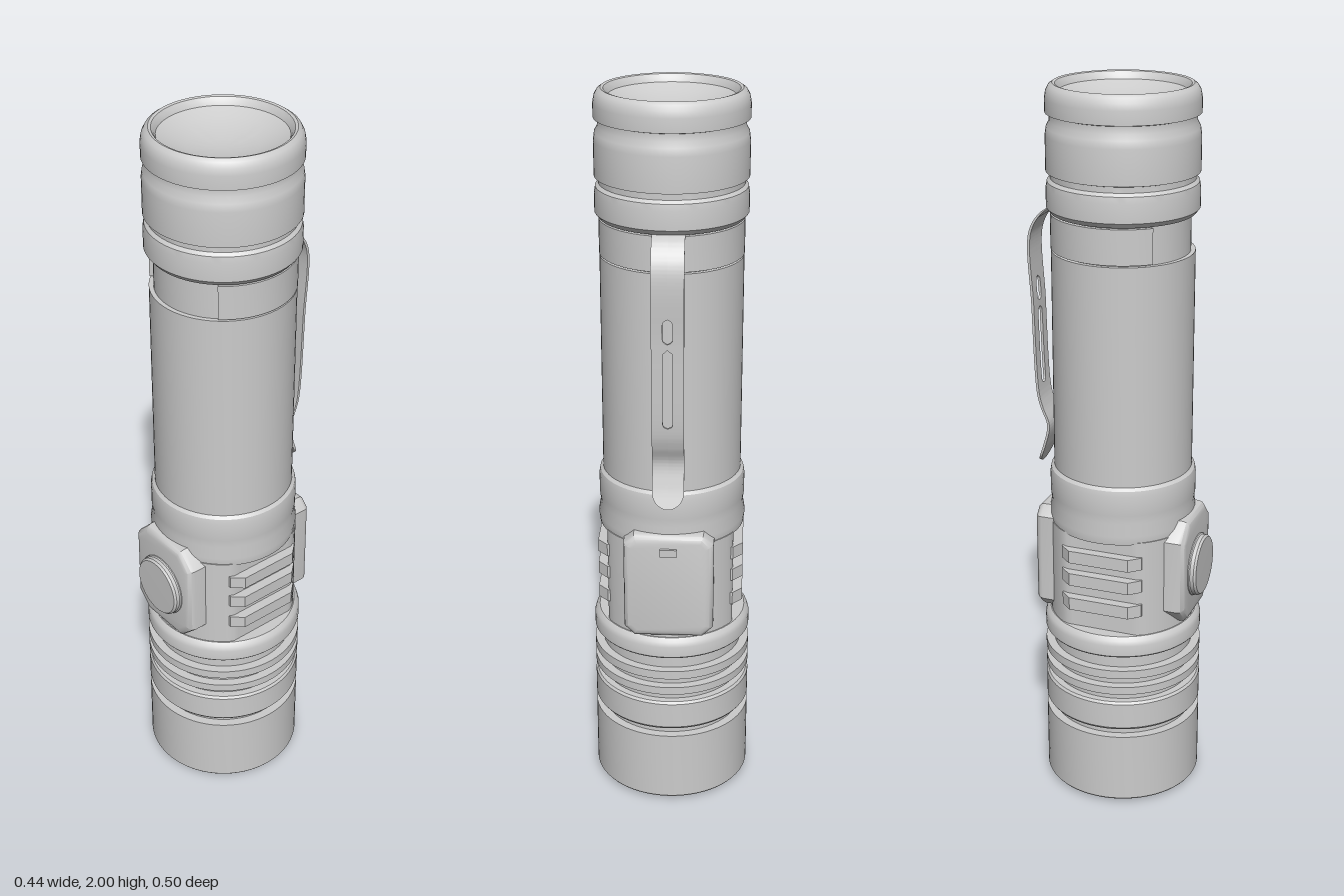
import * as THREE from 'three';
import { toCreasedNormals } from 'three/addons/utils/BufferGeometryUtils.js';

const AXIS_Z = 0.004;
const material = new THREE.MeshStandardMaterial({ color: 0xcccccc, side: THREE.DoubleSide });
const V2 = (p) => new THREE.Vector2(p[0], p[1]);

export function createModel() {
  const model = new THREE.Group();
  model.name = 'flashlight';

  const add = (name, geometry, x = 0, y = 0, z = AXIS_Z) => {
    const mesh = new THREE.Mesh(toCreasedNormals(geometry, 0.55), material);
    mesh.name = name;
    mesh.position.set(x, y, z);
    model.add(mesh);
    return mesh;
  };
  const lathe = (name, points) => add(name, new THREE.LatheGeometry(points.map(V2), 64));
  // Plan outline (x, -z) raised along y
  const raise = (points, y0, y1) =>
    new THREE.ExtrudeGeometry(new THREE.Shape(points.map(V2)), { depth: y1 - y0, bevelEnabled: false })
      .rotateX(-Math.PI / 2).translate(0, y0, 0);

  // Domed lens, recessed in the head
  const dome = [];
  for (let i = 0; i <= 14; i++) {
    const a = (i / 14) * Math.PI / 2;
    dome.push([0.17 * Math.sin(a), 0.09 * (1 - Math.cos(a))]);
  }
  lathe('lens', dome);

  // Head with cooling fins
  lathe('head', [
    [0.165, 0.09], [0.182, 0.09], [0.182, 0.016], [0.186, 0.011], [0.217, 0.011], [0.22, 0.015],
    [0.22, 0.217], [0.196, 0.217], [0.196, 0.24], [0.214, 0.24], [0.22, 0.248],
    [0.22, 0.322], [0.215, 0.329], [0.196, 0.329], [0.196, 0.355],
    [0.22, 0.355], [0.22, 0.378], [0.196, 0.378], [0.196, 0.405],
    [0.22, 0.405], [0.22, 0.43], [0.196, 0.43], [0.196, 0.472],
    [0.217, 0.472], [0.22, 0.476], [0.22, 0.507], [0.216, 0.52], [0.206, 0.53], [0.15, 0.53],
  ]);

  // Collar, battery tube and narrow neck under the tail cap
  lathe('batteryTube', [
    [0.16, 0.805], [0.2, 0.805], [0.203, 0.83], [0.197, 0.865], [0.2, 0.89], [0.2, 0.945],
    [0.197, 0.96], [0.189, 0.968], [0.189, 1.57], [0.177, 1.57], [0.177, 1.69],
  ]);

  // Tail cap with grooves and a dished end
  lathe('tailCap', [
    [0.17, 1.672], [0.19, 1.672], [0.2, 1.685], [0.2, 1.735], [0.197, 1.752], [0.189, 1.76],
    [0.189, 1.775], [0.2, 1.778], [0.2, 1.87], [0.197, 1.89], [0.189, 1.905], [0.189, 1.924],
    [0.2, 1.927], [0.2, 1.963], [0.197, 1.98], [0.19, 1.993], [0.18, 2.0], [0.173, 1.998],
    [0.167, 1.99], [0.162, 1.979], [0.13, 1.964], [0.09, 1.951], [0.045, 1.943], [0, 1.94],
  ]);

  // Switch section: round core with flattened sides
  const core = [];
  for (let i = 0; i < 72; i++) {
    const a = (i / 72) * Math.PI * 2;
    core.push([THREE.MathUtils.clamp(0.203 * Math.cos(a), -0.173, 0.173), 0.203 * Math.sin(a)]);
  }
  add('switchCore', raise(core, 0.525, 0.81));

  // Side grip ribs
  const rib = [[0.165, -0.115], [0.173, -0.115], [0.2, -0.085], [0.2, 0.085], [0.173, 0.115], [0.165, 0.115]];
  for (const side of [-1, 1]) {
    for (const y of [0.608, 0.682, 0.75]) {
      const outline = rib.map(([x, z]) => [x * side, z]);
      add('gripRib', raise(outline, y - 0.018, y + 0.018));
    }
  }

  // Front and back pads with clipped corners
  const padShape = (w, y0, y1, c) => new THREE.Shape([
    [-w + c, y0], [w - c, y0], [w, y0 + c], [w, y1 - c],
    [w - c, y1], [-w + c, y1], [-w, y1 - c], [-w, y0 + c],
  ].map(V2));
  const pad = (w, y0, y1, c, face) => new THREE.ExtrudeGeometry(padShape(w, y0, y1, c), {
    depth: face - 0.12, bevelThickness: 0.02, bevelSize: 0.022, bevelSegments: 3,
  }).translate(0, 0, 0.1);
  add('switchPad', pad(0.1, 0.565, 0.825, 0.035, 0.222), 0, 0, 0);
  add('portCover', pad(0.1, 0.56, 0.825, 0.015, 0.213).rotateY(Math.PI), 0, 0, 0);
  add('portCoverTab', new THREE.BoxGeometry(0.045, 0.022, 0.02), 0, 0.8, -0.211);

  // Push button
  const button = [[0.088, 0.2], [0.088, 0.225], [0.085, 0.228], [0.085, 0.238], [0.08, 0.244], [0, 0.245]];
  add('button', new THREE.LatheGeometry(button.map(V2), 48).rotateX(Math.PI / 2), 0, 0.688, 0);

  // Open band that holds the clip
  const band = [];
  const arc = (r, from, to) => {
    for (let i = 0; i <= 48; i++) {
      const a = from + (to - from) * (i / 48);
      band.push([r * Math.cos(a), r * Math.sin(a)]);
    }
  };
  arc(0.19, -0.75, Math.PI + 0.75);
  arc(0.178, Math.PI + 0.75, -0.75);
  add('clipBand', raise(band, 1.575, 1.668));

  // Pocket clip: two mirrored halves that part around the slots
  const TOP = 1.672, END = 0.94, ROWS = 150;
  const path = new THREE.CatmullRomCurve3([
    [1.675, -0.178], [1.655, -0.21], [1.6, -0.243], [1.4, -0.239], [1.15, -0.228],
    [1.11, -0.218], [1.06, -0.2], [1.0, -0.212], [0.935, -0.236],
  ].map(([y, z]) => new THREE.Vector3(0, y, z)), false, 'centripetal').getPoints(250);
  const clipZ = (y) => {
    const i = Math.max(1, path.findIndex((p) => p.y <= y));
    const a = path[i - 1], b = path[i];
    return THREE.MathUtils.mapLinear(y, a.y, b.y, a.z, b.z);
  };
  // Half width at y of a round-ended slot or tip
  const roundEnd = (distance, r) => {
    if (distance <= 0) return 0;
    return distance >= r ? r : Math.sqrt(r * r - (r - distance) ** 2);
  };
  const inner = (y) => Math.max(
    roundEnd(Math.min(y - 1.17, 1.385 - y), 0.013),
    roundEnd(Math.min(y - 1.405, 1.47 - y), 0.013));
  const outer = (y) => Math.max(0.008, roundEnd(y - END, 0.042));
  for (const side of [-1, 1]) {
    const half = new THREE.BoxGeometry(1, TOP - END, 0.007, 1, ROWS, 1).translate(0, (TOP + END) / 2, 0);
    const p = half.attributes.position;
    for (let i = 0; i < p.count; i++) {
      const y = p.getY(i);
      const isOuter = p.getX(i) * side > 0;
      p.setX(i, side * (isOuter ? outer(y) : inner(y)));
      p.setZ(i, p.getZ(i) + clipZ(y));
    }
    add('pocketClip', half, 0, 0, 0);
  }

  return model;
}
